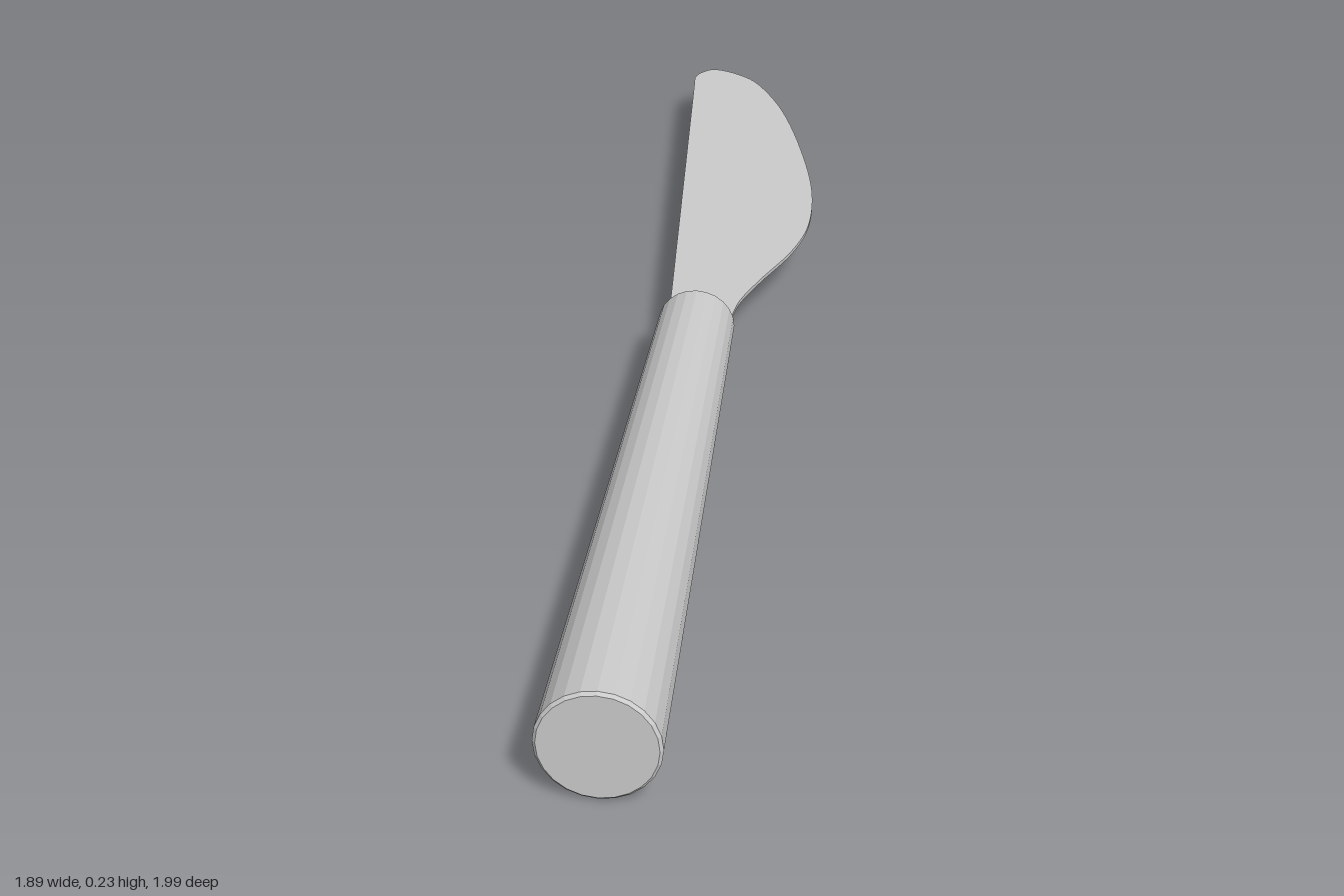
import * as THREE from 'three';

export function createModel() {
  const group = new THREE.Group();
  const material = new THREE.MeshStandardMaterial({ color: 0xcccccc, flatShading: true });
  const midY = 0.117;

  // Tapered round handle with slightly eased ends, lying diagonally
  const butt = new THREE.Vector3(-0.869, midY, 0.917);
  const collar = new THREE.Vector3(0.168, midY, -0.118);
  const length = butt.distanceTo(collar);
  const profile = [
    [0, 0], [0.109, 0], [0.115, 0.006],
    [0.078, length - 0.012], [0.07, length], [0, length],
  ].map(([r, y]) => new THREE.Vector2(r, y));
  const handle = new THREE.Mesh(new THREE.LatheGeometry(profile, 24), material);
  handle.name = 'handle';
  handle.position.copy(butt);
  handle.quaternion.setFromUnitVectors(
    new THREE.Vector3(0, 1, 0), collar.clone().sub(butt).normalize());
  group.add(handle);

  // Thin flat blade: straight spine, rounded tip, bellied cutting edge
  const thickness = 0.008;
  const outline = new THREE.Shape();
  outline.moveTo(0.1, 0.13);
  outline.lineTo(0.135, 0.17);
  outline.lineTo(0.833, 0.97);
  outline.splineThru([
    [0.853, 0.991], [0.88, 1.0], [0.913, 0.992], [0.938, 0.94], [0.942, 0.87],
    [0.903, 0.74], [0.823, 0.58], [0.717, 0.41], [0.61, 0.29], [0.505, 0.22],
    [0.373, 0.165], [0.283, 0.122], [0.215, 0.07],
  ].map(([x, y]) => new THREE.Vector2(x, y)));
  outline.lineTo(0.18, 0.05);
  const bladeGeometry = new THREE.ExtrudeGeometry(outline, {
    depth: thickness, bevelEnabled: false, curveSegments: 48,
  });
  bladeGeometry.rotateX(-Math.PI / 2);
  const blade = new THREE.Mesh(bladeGeometry, material);
  blade.name = 'blade';
  blade.position.y = midY - thickness / 2;
  group.add(blade);

  return group;
}
